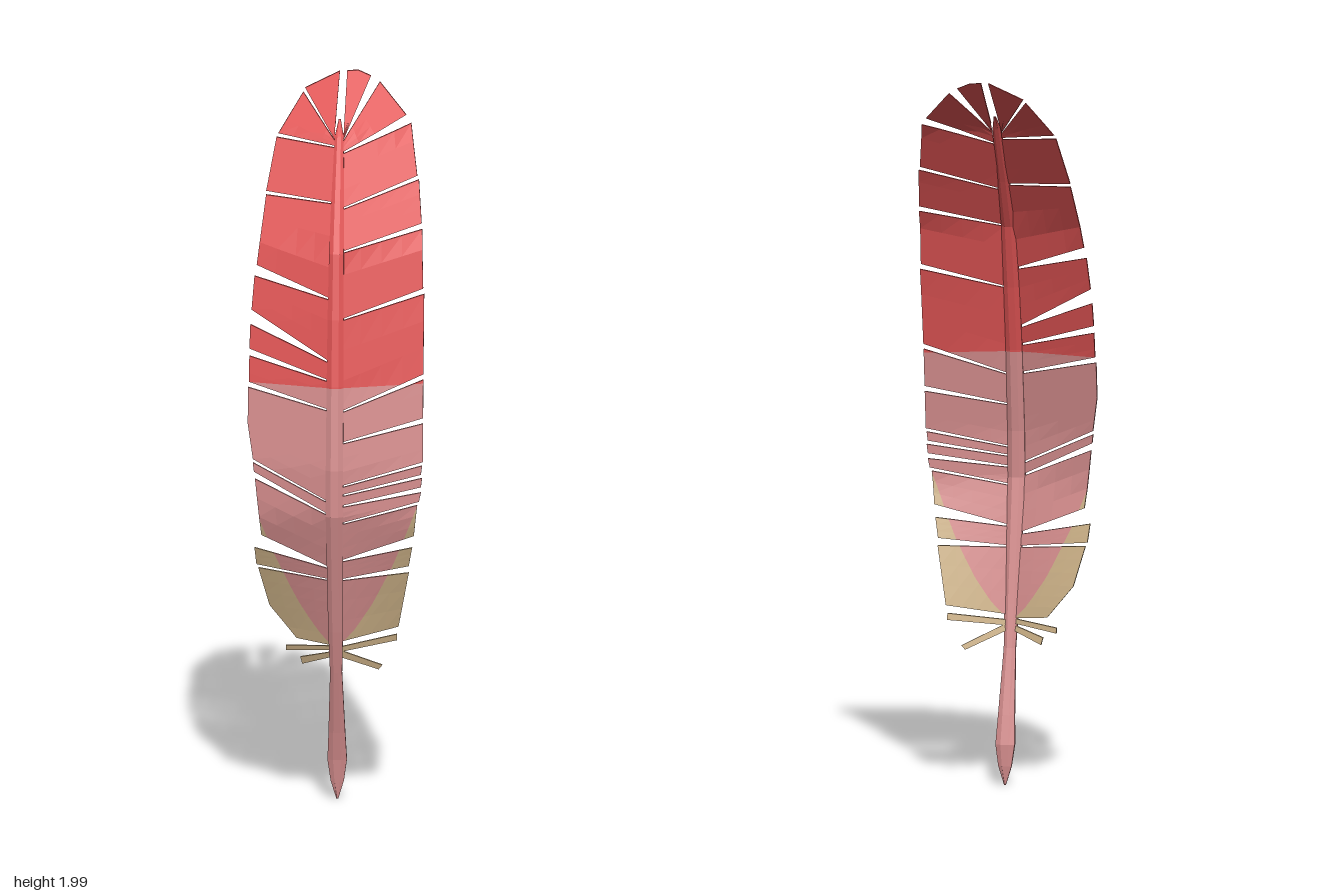
import * as THREE from 'three';

const red = new THREE.MeshStandardMaterial({ color: 0xe05454 }); red.name = 'red';
const pink = new THREE.MeshStandardMaterial({ color: 0xd68e8e }); pink.name = 'dusty pink';
const tan = new THREE.MeshStandardMaterial({ color: 0xcdb288 }); tan.name = 'tan';

// Side profile of the shaft: [y, z of its front line]
const BEND = [[0, 0.04], [0.12, 0.057], [0.2, 0.075], [0.44, 0.137], [0.84, 0.225], [0.97, 0.222],
  [1.2, 0.19], [1.38, 0.152], [1.555, 0.105], [1.69, 0.03], [1.85, -0.068], [2.0, -0.218]];

function ridge(y) {
  let i = 1;
  while (i < BEND.length - 1 && y > BEND[i][0]) i++;
  const [a, b] = [BEND[i - 1], BEND[i]];
  return a[1] + (b[1] - a[1]) * (y - a[0]) / (b[0] - a[0]);
}

// Vane surface folds back from the shaft, more strongly near the base
function vanePoint(x, y, depth) {
  const fold = 0.32 + 0.14 * THREE.MathUtils.clamp((0.8 - y) / 0.3, 0, 1);
  return [x, y, ridge(y) - 0.006 - fold * Math.abs(x) - depth];
}

// Colour borders: positive means above the border
const tipBorder = (p) => p[1] - 1.195;
const downBorder = (p) => p[1] - (0.45 + 0.8 * Math.abs(p[0]) + 4.5 * p[0] * p[0]);

// Part of a polygon on one side of a border
function clip(poly, border, sign) {
  const out = [];
  poly.forEach((a, i) => {
    const b = poly[(i + 1) % poly.length];
    const fa = border(a) * sign, fb = border(b) * sign;
    if (fa >= 0) out.push(a);
    if ((fa >= 0) !== (fb >= 0)) out.push(a.map((v, k) => v + (b[k] - v) * fa / (fa - fb)));
  });
  return out;
}

function addFan(list, poly) {
  for (let i = 2; i < poly.length; i++) list.push(...poly[0], ...poly[i - 1], ...poly[i]);
}

// Splits each triangle of a quad among the colour zones
function paint(zones, quad, mirrored) {
  const q = mirrored ? [...quad].reverse() : quad;
  for (const tri of [[q[0], q[1], q[2]], [q[0], q[2], q[3]]]) {
    addFan(zones.tip, clip(tri, tipBorder, 1));
    const low = clip(tri, tipBorder, -1);
    if (!zones.down) { addFan(zones.middle, low); continue; }
    addFan(zones.middle, clip(low, downBorder, 1));
    addFan(zones.down, clip(low, downBorder, -1));
  }
}

// One barb cluster: a thin slab from the shaft to its outer edge points (low to high)
function addBarb(zones, side, rootLow, rootHigh, outer) {
  const NU = 4, SUB = 3, NV = (outer.length - 1) * SUB, T = 0.009;
  const at = (i, j, depth) => {
    const k = Math.min(Math.floor(j / SUB), outer.length - 2), f = j / SUB - k;
    const ox = outer[k][0] + (outer[k + 1][0] - outer[k][0]) * f;
    const oy = outer[k][1] + (outer[k + 1][1] - outer[k][1]) * f;
    const ry = rootLow + (rootHigh - rootLow) * j / NV, u = i / NU;
    return vanePoint(side * (0.012 + (ox - 0.012) * u), ry + (oy - ry) * u, depth);
  };
  const m = side < 0;
  for (let i = 0; i < NU; i++) for (let j = 0; j < NV; j++) {
    const c = [[i, j], [i + 1, j], [i + 1, j + 1], [i, j + 1]];
    paint(zones, c.map(([a, b]) => at(a, b, 0)), m);
    paint(zones, c.map(([a, b]) => at(a, b, T)).reverse(), m);
  }
  const wall = (a, b) => paint(zones, [at(...a, 0), at(...a, T), at(...b, T), at(...b, 0)], m);
  for (let i = 0; i < NU; i++) {
    wall([i, 0], [i + 1, 0]);
    wall([i + 1, NV], [i, NV]);
  }
  for (let j = 0; j < NV; j++) wall([NU, j], [NU, j + 1]);
}

// Barb clusters: root low, root high, outer edge points
const LEFT = [
  [1.84, 1.87, [[0.08, 1.985], [0.045, 2.0], [0.015, 2.0]]],
  [1.81, 1.838, [[0.18, 1.89], [0.105, 1.97]]],
  [1.67, 1.805, [[0.215, 1.74], [0.195, 1.87]]],
  [1.56, 1.665, [[0.23, 1.62], [0.22, 1.73]]],
  [1.38, 1.555, [[0.237, 1.45], [0.232, 1.605]]],
  [1.13, 1.375, [[0.24, 1.22], [0.24, 1.435]]],
  [1.045, 1.125, [[0.24, 1.1], [0.24, 1.205]]],
  [0.925, 1.04, [[0.24, 0.98], [0.24, 1.085]]],
  [0.9, 0.92, [[0.235, 0.945], [0.238, 0.97]]],
  [0.87, 0.895, [[0.235, 0.91], [0.238, 0.935]]],
  [0.82, 0.865, [[0.23, 0.87], [0.235, 0.895]]],
  [0.71, 0.815, [[0.215, 0.77], [0.225, 0.86]]],
  [0.655, 0.705, [[0.2, 0.68], [0.21, 0.735]]],
  [0.47, 0.65, [[0.17, 0.5], [0.2, 0.66]]],
  [0.44, 0.455, [[0.165, 0.46], [0.165, 0.478]]],
  [0.425, 0.445, [[0.115, 0.378], [0.125, 0.39]]],
];
const RIGHT = [
  [1.84, 1.87, [[0.1, 1.955], [0.005, 2.0]]],
  [1.825, 1.838, [[0.17, 1.845], [0.105, 1.945]]],
  [1.685, 1.82, [[0.2, 1.7], [0.175, 1.835]]],
  [1.435, 1.68, [[0.222, 1.51], [0.2, 1.69]]],
  [1.265, 1.43, [[0.235, 1.39], [0.228, 1.48]]],
  [1.215, 1.26, [[0.24, 1.285], [0.238, 1.35]]],
  [1.135, 1.21, [[0.24, 1.195], [0.24, 1.265]]],
  [0.88, 1.13, [[0.228, 0.985], [0.243, 1.08], [0.243, 1.18]]],
  [0.845, 0.875, [[0.225, 0.95], [0.228, 0.975]]],
  [0.69, 0.84, [[0.205, 0.77], [0.222, 0.93]]],
  [0.655, 0.685, [[0.22, 0.68], [0.225, 0.73]]],
  [0.46, 0.65, [[0.11, 0.47], [0.185, 0.56], [0.215, 0.67]]],
  [0.445, 0.458, [[0.14, 0.43], [0.14, 0.445]]],
  [0.425, 0.44, [[0.095, 0.395], [0.1, 0.415]]],
];

// Shaft: eight-sided rings, [y, half width, half depth]
const SHAFT = [[0.008, 0.003, 0.003], [0.06, 0.02, 0.01], [0.12, 0.029, 0.015], [0.2, 0.025, 0.014],
  [0.38, 0.018, 0.012], [0.5, 0.022, 0.014], [0.84, 0.026, 0.017], [0.97, 0.026, 0.018], [1.2, 0.025, 0.017],
  [1.38, 0.024, 0.016], [1.555, 0.022, 0.015], [1.69, 0.019, 0.013], [1.85, 0.013, 0.009], [1.89, 0.003, 0.003]];

function addShaft(zones) {
  const N = 8;
  const rings = SHAFT.map(([y, w, d]) => Array.from({ length: N }, (_, i) => {
    const a = (i + 0.5) / N * Math.PI * 2;
    return [Math.sin(a) * w, y, ridge(y) - d + Math.cos(a) * d];
  }));
  for (let r = 1; r < rings.length; r++) for (let i = 0; i < N; i++) {
    const n = (i + 1) % N;
    paint(zones, [rings[r - 1][i], rings[r - 1][n], rings[r][n], rings[r][i]], false);
  }
  addFan(zones.middle, [...rings[0]].reverse());
  addFan(zones.tip, rings[rings.length - 1]);
}

function makeMesh(name, positions, material) {
  const geometry = new THREE.BufferGeometry();
  geometry.setAttribute('position', new THREE.Float32BufferAttribute(positions, 3));
  geometry.computeVertexNormals();
  const mesh = new THREE.Mesh(geometry, material);
  mesh.name = name;
  return mesh;
}

export function createModel() {
  const group = new THREE.Group();
  group.name = 'feather';
  for (const [side, word, barbs] of [[1, 'left', LEFT], [-1, 'right', RIGHT]]) {
    const zones = { tip: [], middle: [], down: [] };
    for (const barb of barbs) addBarb(zones, side, ...barb);
    const vane = new THREE.Group();
    vane.name = word + 'Vane';
    vane.add(makeMesh(word + 'VaneTip', zones.tip, red),
      makeMesh(word + 'VaneMiddle', zones.middle, pink),
      makeMesh(word + 'VaneDown', zones.down, tan));
    group.add(vane);
  }
  const shaft = { tip: [], middle: [] };
  addShaft(shaft);
  group.add(makeMesh('upperShaft', shaft.tip, red), makeMesh('quill', shaft.middle, pink));
  return group;
}
